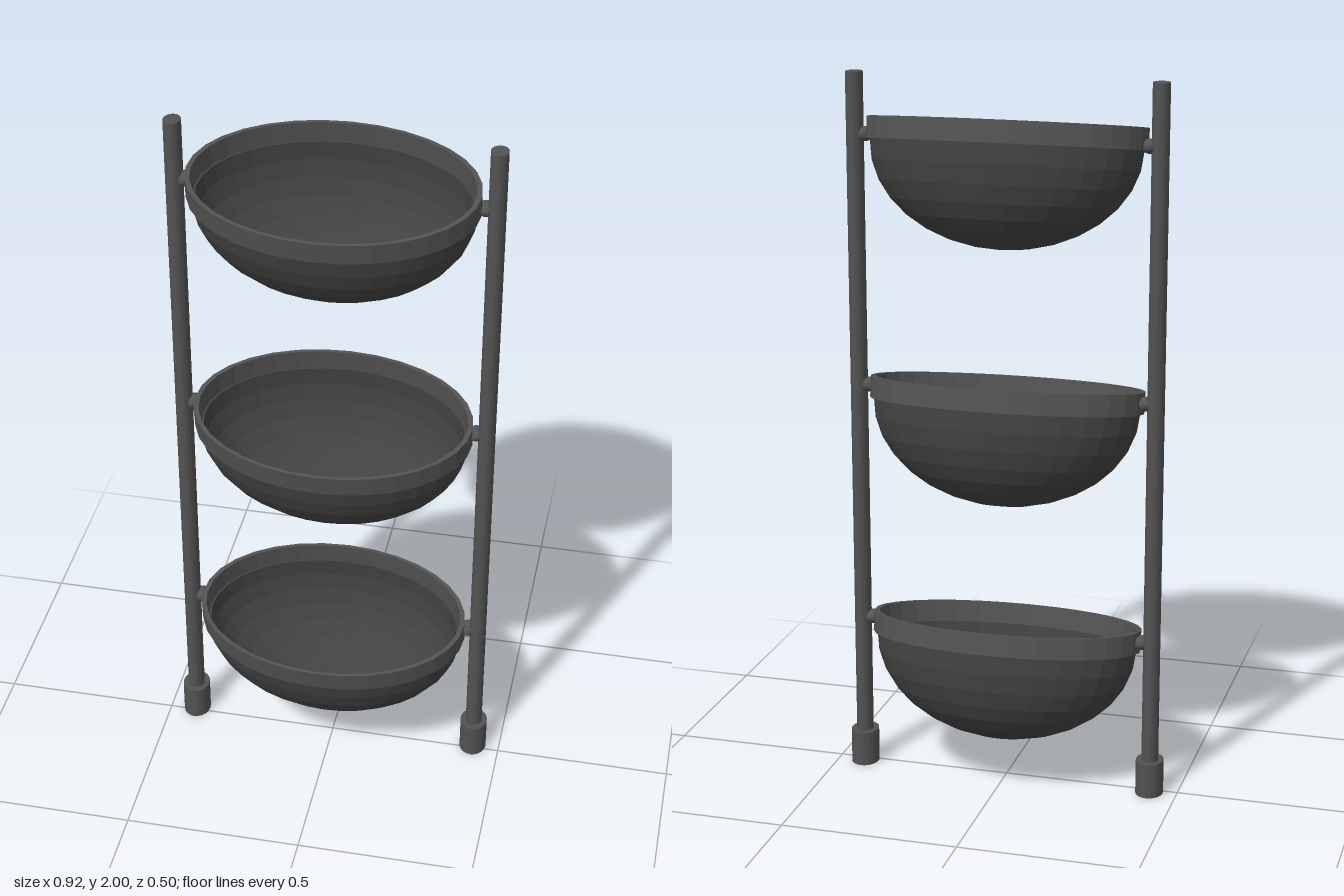
import * as THREE from 'three';

const TILT = THREE.MathUtils.degToRad(10);
const POST_X = 0.422, POST_Z = -0.015;
const WIDTH = 0.385, DEPTH = 0.248;   // outer half axes of the rim

export function createModel() {
  const group = new THREE.Group();
  const frameMat = new THREE.MeshStandardMaterial({ color: 0x525252, flatShading: true });
  frameMat.name = 'frame grey';
  const bowlMat = new THREE.MeshStandardMaterial({ color: 0x424242, flatShading: true });
  bowlMat.name = 'bowl dark grey';

  const add = (parent, name, geometry, material, x = 0, y = 0, z = 0) => {
    const mesh = new THREE.Mesh(geometry, material);
    mesh.name = name;
    mesh.position.set(x, y, z);
    parent.add(mesh);
    return mesh;
  };

  // Oval lathe: unit-radius profile stretched to the rim's half axes
  const oval = (points) =>
    new THREE.LatheGeometry(points.map(([r, y]) => new THREE.Vector2(r, y)), 32)
      .scale(WIDTH, 1, DEPTH);

  // Bowl shell: outer wall from the pole up, then inner wall back down
  const shell = [];
  const ROWS = 8;
  for (let i = 0; i <= ROWS; i++) {
    const a = (i / ROWS) * Math.PI / 2;
    shell.push([0.972 * Math.sin(a), -0.281 * Math.cos(a)]);
  }
  for (let i = ROWS; i >= 0; i--) {
    const a = (i / ROWS) * Math.PI / 2;
    shell.push([0.94 * Math.sin(a), -0.268 * Math.cos(a)]);
  }
  const bowlGeo = oval(shell);

  // Upright band around the mouth of the bowl
  const rimGeo = oval([[0.955, 0], [1, 0], [1, 0.06], [0.965, 0.06], [0.955, 0]]);

  // Tilted bowls, each hung from two pivots
  const tiers = [[0.412, 0.447], [1.1, 1.133], [1.818, 1.832]];
  for (const [bowlY, pivotY] of tiers) {
    const tier = new THREE.Group();
    tier.name = 'tiltedBowl';
    tier.position.set(0, bowlY, -0.006);
    tier.rotation.x = TILT;
    add(tier, 'bowl', bowlGeo, bowlMat);
    add(tier, 'rim', rimGeo, frameMat);
    group.add(tier);

    for (const side of [-1, 1]) {
      const pivot = add(group, 'pivot', new THREE.SphereGeometry(0.02, 16, 10), frameMat,
        side * 0.393, pivotY, POST_Z);
      pivot.scale.set(1.15, 1, 1.35);
    }
  }

  // Posts and feet, slightly oval in plan
  const postGeo = new THREE.CylinderGeometry(0.0235, 0.0235, 1.95, 20).scale(1, 1, 1.2);
  const footGeo = new THREE.CylinderGeometry(0.039, 0.039, 0.1, 20).scale(1, 1, 1.2);
  for (const side of [-1, 1]) {
    const name = side > 0 ? 'left' : 'right';
    add(group, name + 'Post', postGeo, frameMat, side * POST_X, 1.025, POST_Z);
    add(group, name + 'Foot', footGeo, frameMat, side * POST_X, 0.05, POST_Z);
  }
  return group;
}
